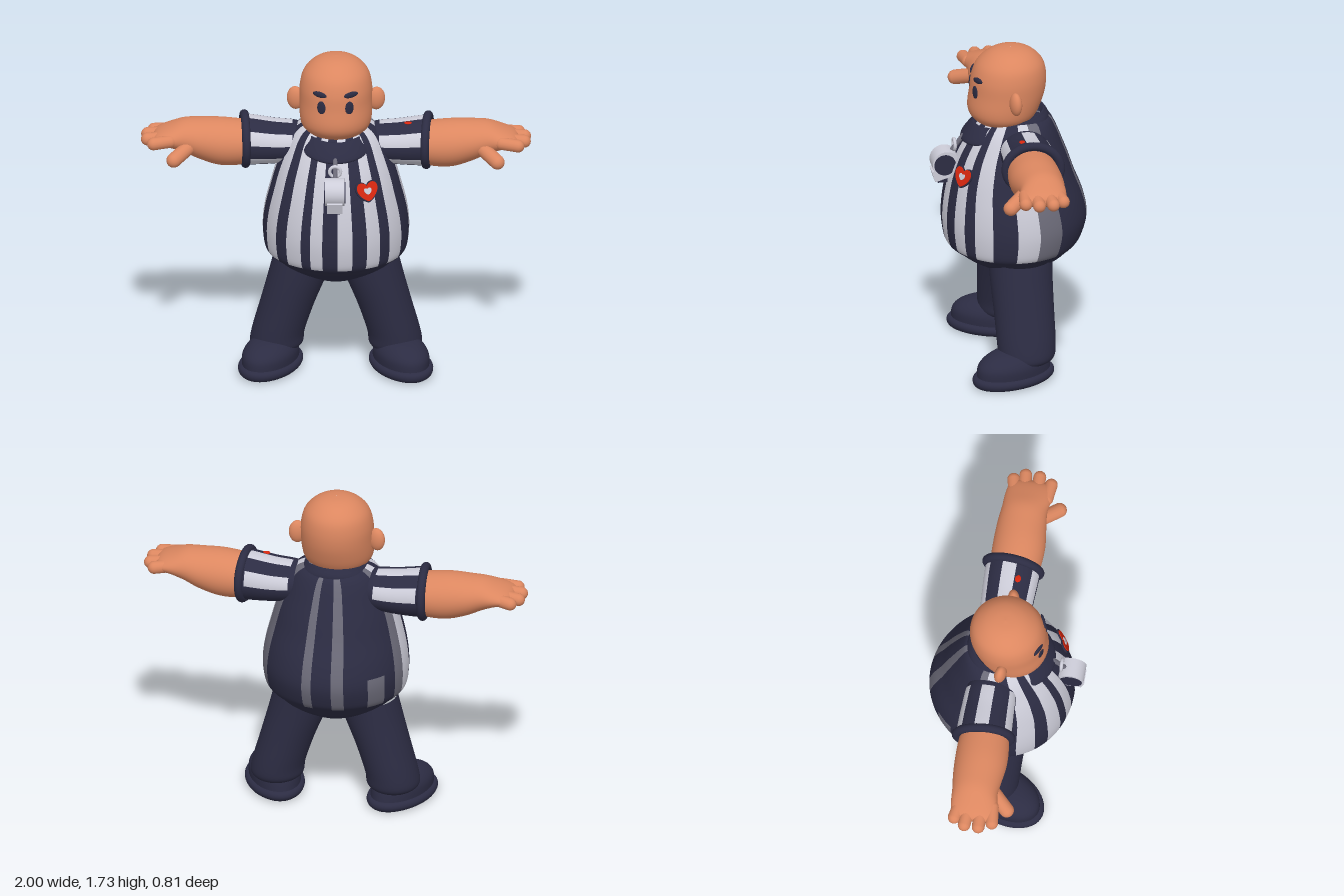
import * as THREE from 'three';

const material = (name, color) => Object.assign(new THREE.MeshStandardMaterial({ color }), { name });
const rad = THREE.MathUtils.degToRad;

// Smooth interpolation through rows of numbers
function smoothRows(rows, steps) {
  const out = [];
  const at = (i) => rows[Math.min(Math.max(i, 0), rows.length - 1)];
  for (let i = 0; i < rows.length - 1; i++) {
    for (let s = 0; s < steps; s++) {
      const t = s / steps;
      out.push([0, 1, 2, 3, 4, 5].map((k) => {
        const [a, b, c, d] = [at(i - 1)[k] || 0, at(i)[k] || 0, at(i + 1)[k] || 0, at(i + 2)[k] || 0];
        return b + 0.5 * t * (c - a + t * (2 * a - 5 * b + 4 * c - d + t * (3 * (b - c) + d - a)));
      }));
    }
  }
  const last = rows[rows.length - 1];
  out.push([0, 1, 2, 3, 4, 5].map((k) => last[k] || 0));
  return out;
}

// Oval rings stacked in y: [y, halfWidth, zFront, zBack, xCentre, forwardTilt].
// pick(angle in degrees from the front, y) gives a material index for each face.
function loft(rows, { columns = 48, steps = 5, pick = null } = {}) {
  const rings = smoothRows(rows, steps);
  const pos = [];
  const lists = [[], [], []];
  for (const [y, rx, zf, zb, cx, tilt] of rings) {
    for (let j = 0; j < columns; j++) {
      const a = (j / columns) * Math.PI * 2;
      pos.push(cx + rx * Math.sin(a), y + tilt * Math.cos(a), (zf + zb) / 2 + ((zf - zb) / 2) * Math.cos(a));
    }
  }
  for (let i = 0; i < rings.length - 1; i++) {
    for (let j = 0; j < columns; j++) {
      const a = i * columns + j, b = i * columns + ((j + 1) % columns);
      let deg = ((j + 0.5) / columns) * 360;
      if (deg > 180) deg -= 360;
      const k = pick ? pick(deg, (rings[i][0] + rings[i + 1][0]) / 2) : 0;
      lists[k].push(a, b, b + columns, a, b + columns, a + columns);
    }
  }
  const g = new THREE.BufferGeometry();
  g.setAttribute('position', new THREE.Float32BufferAttribute(pos, 3));
  g.setIndex(lists.flat());
  let start = 0;
  if (pick) lists.forEach((l, k) => { g.addGroup(start, l.length, k); start += l.length; });
  g.computeVertexNormals();
  return g;
}

function mirrored(geometry) {
  const g = geometry.clone().scale(-1, 1, 1);
  const ix = g.index;
  for (let i = 0; i < ix.count; i += 3) {
    const t = ix.getX(i);
    ix.setX(i, ix.getX(i + 1));
    ix.setX(i + 1, t);
  }
  return g;
}

const ball = (x, y, z, rx, ry, rz, yaw = 0, roll = 0) =>
  new THREE.SphereGeometry(1, 28, 18).scale(rx, ry, rz).rotateZ(roll).rotateY(yaw).translate(x, y, z);

function capsule(a, b, r) {
  const p = new THREE.Vector3(...a), q = new THREE.Vector3(...b);
  const d = q.clone().sub(p);
  const turn = new THREE.Quaternion().setFromUnitVectors(new THREE.Vector3(0, 1, 0), d.clone().normalize());
  const mid = p.add(q).multiplyScalar(0.5);
  return new THREE.CapsuleGeometry(r, d.length(), 8, 16).applyQuaternion(turn).translate(mid.x, mid.y, mid.z);
}

const within = (v, bands) => bands.some(([a, b]) => v > a && v < b);

export function createModel() {
  const model = new THREE.Group();
  model.name = 'referee';
  const navy = material('navy cloth', 0x2c2c43);
  const light = material('light stripe', 0xcdcdd9);
  const grey = material('grey stripe', 0x6c6b79);
  const skin = material('skin', 0xdc8760);
  const red = material('red', 0xd9270f);
  const cloth = [navy, light, grey];

  const add = (name, geometry, mat) => {
    const m = new THREE.Mesh(geometry, mat);
    m.name = name;
    model.add(m);
    return m;
  };
  const pair = (name, geometry, mat) => {
    add(name + 'Left', geometry, mat);
    add(name + 'Right', mirrored(geometry), mat);
  };

  // Striped torso with dark hips
  const lightBands = [[-102, -83], [-70, -53], [-42, -28], [-20, -9], [1, 15], [25, 38], [48, 64], [83, 102]];
  const greyBands = [[102, 122], [164, 172], [-172, -162], [-114, -102]];
  const shirt = (deg, y) => {
    if (y < 0.665) return 0;
    if (within(deg, lightBands)) return 1;
    if (within(deg, greyBands) || (y < 0.85 && within(deg, [[-142, -126]]))) return 2;
    return 0;
  };
  add('torso', loft([
    [0.5, 0.001, -0.02, -0.03], [0.51, 0.1, 0.08, -0.14], [0.55, 0.2, 0.16, -0.22], [0.6, 0.28, 0.24, -0.29],
    [0.645, 0.325, 0.295, -0.335], [0.66, 0.35, 0.315, -0.35], [0.7, 0.368, 0.333, -0.378], [0.8, 0.376, 0.345, -0.404],
    [0.91, 0.364, 0.338, -0.385], [1.03, 0.335, 0.316, -0.34], [1.12, 0.31, 0.287, -0.31], [1.2, 0.28, 0.25, -0.28],
    [1.3, 0.235, 0.185, -0.24], [1.35, 0.18, 0.13, -0.205], [1.37, 0.1, 0.07, -0.13], [1.375, 0.001, -0.02, -0.03],
  ], { columns: 180, pick: shirt }), cloth);

  // Collar
  add('collar', loft([
    [1.27, 0.15, 0.18, -0.17, 0, -0.045], [1.28, 0.2, 0.24, -0.205, 0, -0.05], [1.305, 0.2, 0.24, -0.208, 0, -0.05],
    [1.345, 0.17, 0.195, -0.195, 0, -0.035], [1.355, 0.15, 0.17, -0.18, 0, -0.035], [1.3, 0.12, 0.13, -0.15, 0, -0.03],
  ]), navy);

  // Sleeves: lofted upright, then laid along x
  const sleeveBands = [[-90, -55], [-20, 8], [47, 82], [117, 145], [180, 212]];
  const sleevePick = (deg, x) => {
    let phi = deg + 90;
    if (phi > 225) phi -= 360;
    return x > 0.22 && x < 0.445 && within(phi, sleeveBands) ? 1 : 0;
  };
  pair('sleeve', loft([
    [0.1, 0.06, 0.03, -0.12, -1.24], [0.2, 0.1, 0.075, -0.175, -1.24], [0.32, 0.115, 0.085, -0.188, -1.238],
    [0.45, 0.128, 0.092, -0.192, -1.245], [0.47, 0.12, 0.085, -0.185, -1.245], [0.47, 0.001, -0.05, -0.052, -1.245],
  ], { columns: 120, pick: sleevePick }).rotateZ(-Math.PI / 2), cloth);
  pair('sleeveCuff', new THREE.TorusGeometry(1, 0.17, 14, 48).scale(0.14, 0.127, 0.13)
    .rotateY(Math.PI / 2 - 0.08).translate(0.468, 1.247, -0.05), navy);
  add('sleeveSpot', ball(0.37, 1.357, -0.01, 0.02, 0.005, 0.016), red);

  // Arms and hands
  pair('arm', loft([
    [0.4, 0.1, 0.07, -0.16, -1.24], [0.5, 0.118, 0.088, -0.173, -1.235], [0.6, 0.122, 0.094, -0.175, -1.24],
    [0.7, 0.106, 0.083, -0.17, -1.255], [0.78, 0.084, 0.075, -0.16, -1.272], [0.85, 0.058, 0.085, -0.155, -1.275],
    [0.91, 0.038, 0.08, -0.14, -1.27], [0.935, 0.02, 0.05, -0.1, -1.267], [0.94, 0.001, -0.02, -0.03, -1.265],
  ]).rotateZ(-Math.PI / 2), skin);
  [[0.935, -0.125], [0.967, -0.068], [0.967, 0.005], [0.935, 0.07]].forEach(([x, z], i) =>
    pair('finger' + (i + 1), capsule([0.85, 1.275, z * 0.85], [x, 1.265, z], 0.033), skin));
  pair('thumb', capsule([0.75, 1.24, 0.04], [0.83, 1.2, 0.13], 0.038), skin);

  // Trouser legs
  pair('leg', loft([
    [0.1, 0.1, 0.07, -0.15, 0.31], [0.13, 0.135, 0.1, -0.187, 0.305], [0.2, 0.136, 0.107, -0.195, 0.295],
    [0.35, 0.14, 0.115, -0.195, 0.25], [0.5, 0.15, 0.125, -0.196, 0.2], [0.62, 0.155, 0.13, -0.2, 0.165],
  ]), navy);

  // Shoes, toes turned outwards
  const place = (g) => g.rotateY(rad(24)).translate(0.33, 0.005, 0.02);
  pair('shoeSole', place(loft([
    [0, 0.001, 0.01, 0.009], [0, 0.1, 0.19, -0.17], [0.008, 0.135, 0.23, -0.205], [0.03, 0.15, 0.243, -0.22],
    [0.052, 0.142, 0.235, -0.212], [0.062, 0.11, 0.2, -0.18],
  ])), navy);
  pair('shoeUpper', place(loft([
    [0.05, 0.13, 0.22, -0.2], [0.1, 0.13, 0.215, -0.19], [0.135, 0.115, 0.185, -0.175], [0.162, 0.085, 0.13, -0.14],
    [0.175, 0.04, 0.06, -0.08], [0.177, 0.001, 0.001, -0.001],
  ])), navy);

  // Head
  add('head', loft([
    [1.29, 0.09, 0.08, -0.1], [1.33, 0.135, 0.155, -0.11], [1.37, 0.172, 0.197, -0.14], [1.42, 0.185, 0.21, -0.165],
    [1.5, 0.187, 0.2, -0.19], [1.58, 0.185, 0.19, -0.196], [1.65, 0.165, 0.162, -0.18], [1.7, 0.118, 0.108, -0.134],
    [1.725, 0.062, 0.05, -0.077], [1.732, 0.001, -0.012, -0.014],
  ]), skin);
  pair('ear', ball(0.208, 1.497, -0.005, 0.045, 0.062, 0.03, 0.25), skin);
  pair('eye', ball(0.072, 1.52, 0.184, 0.023, 0.036, 0.006, rad(22)), navy);
  pair('eyebrow', ball(0.08, 1.588, 0.171, 0.039, 0.016, 0.009, rad(25), 0.1), navy);

  // Whistle with dark side discs, mouthpiece and hanging ring
  const disc = (r, w) => new THREE.CylinderGeometry(r, r, w, 36).rotateZ(Math.PI / 2);
  add('whistleBody', disc(0.072, 0.1).translate(0, 1.112, 0.328), light);
  add('whistleDiscs', disc(0.056, 0.108).translate(0, 1.112, 0.336), navy);
  add('whistleMouthpiece', new THREE.BoxGeometry(0.08, 0.06, 0.08).rotateX(0.3).translate(0, 1.055, 0.355), light);
  add('whistleSlot', new THREE.BoxGeometry(0.055, 0.03, 0.05).translate(0, 1.02, 0.345), navy);
  add('whistleRing', new THREE.TorusGeometry(0.028, 0.009, 10, 24).translate(0, 1.205, 0.28), light);
  add('whistleCord', capsule([0, 1.25, 0.235], [0, 1.17, 0.295], 0.012), grey);

  // Heart badge on the chest
  const heart = (s) => {
    const h = new THREE.Shape();
    h.moveTo(0, -s);
    h.bezierCurveTo(s * 0.6, -s * 0.8, s * 1.2, -s * 0.1, s * 1.1, s * 0.4);
    h.bezierCurveTo(s, s, s * 0.3, s * 0.95, 0, s * 0.5);
    h.bezierCurveTo(-s * 0.3, s * 0.95, -s, s, -s * 1.1, s * 0.4);
    h.bezierCurveTo(-s * 1.2, -s * 0.1, -s * 0.6, -s * 0.8, 0, -s);
    return new THREE.ExtrudeGeometry(h, { depth: 0.008, bevelEnabled: false, curveSegments: 10 });
  };
  const badge = new THREE.Group();
  badge.name = 'heartBadge';
  [['badgeEdge', 0.06, 0, navy], ['badgeHeart', 0.053, 0.004, red], ['badgeCentre', 0.019, 0.008, light]]
    .forEach(([name, s, z, mat]) => {
      const m = add(name, heart(s).translate(0, 0, z), mat);
      badge.add(m);
    });
  badge.rotation.set(rad(-20), rad(29), 0, 'YXZ');
  badge.position.set(0.162, 1.09, 0.258);
  model.add(badge);

  return model;
}
